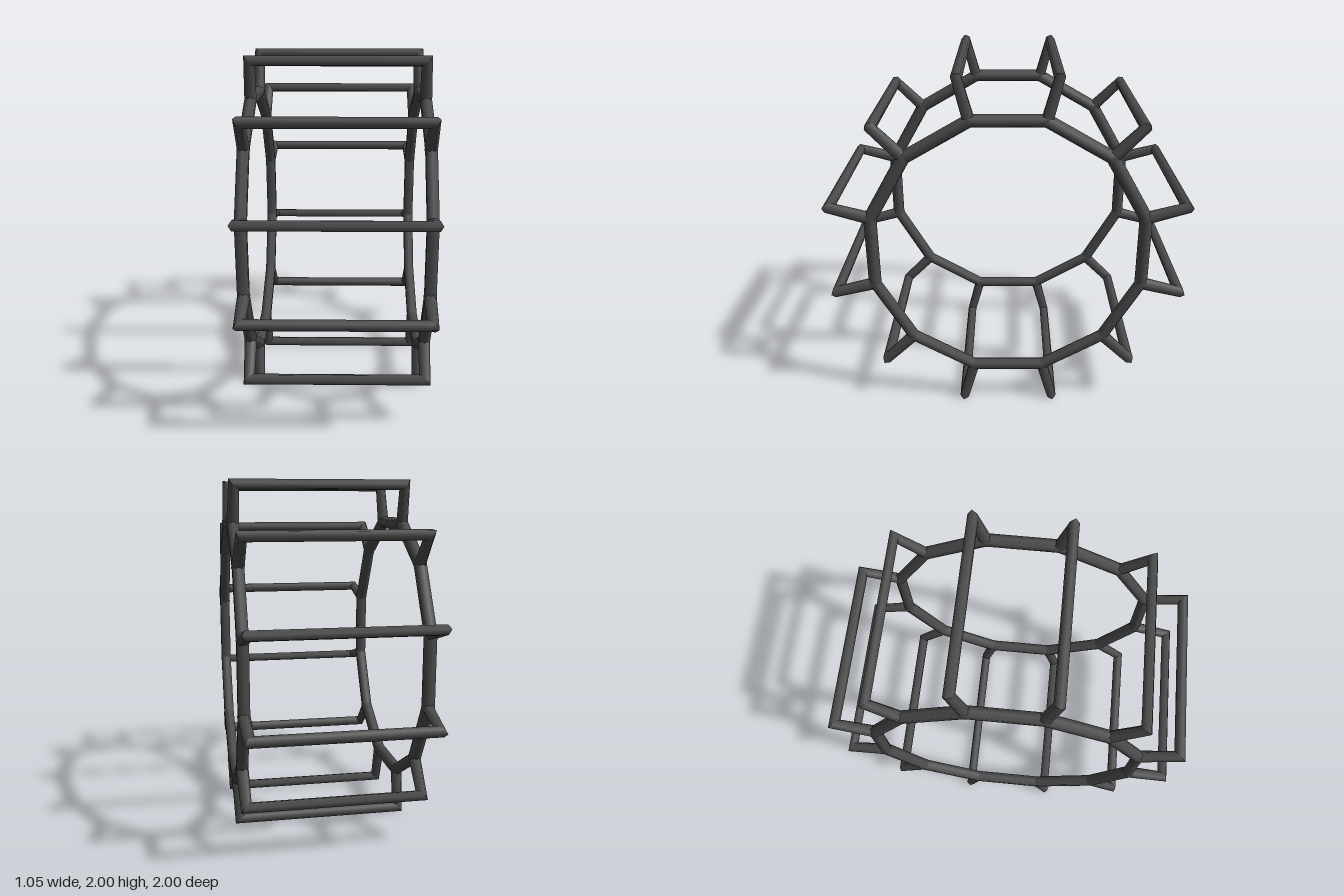
import * as THREE from 'three';

const SIDES = 6;

// Hexagonal bar swept along a planar path with mitred corners; b is the plane normal
function sweep(points, radii, b, closed) {
  const count = points.length;
  const segs = closed ? count : count - 1;
  const sideOf = i => {
    const d = points[(i + 1) % count].clone().sub(points[i]).normalize();
    return new THREE.Vector3().crossVectors(d, b).normalize();
  };
  const sides = Array.from({ length: segs }, (_, i) => sideOf(i));
  const mitre = i => {
    const prev = closed ? sides[(i + segs - 1) % segs] : sides[Math.max(i - 1, 0)];
    const next = closed ? sides[i % segs] : sides[Math.min(i, segs - 1)];
    const m = prev.clone().add(next).normalize();
    return m.divideScalar(m.dot(next));
  };
  const pos = [], nor = [], idx = [];
  for (let s = 0; s < segs; s++) {
    const base = pos.length / 3;
    for (const i of [s, (s + 1) % count]) {
      const m = mitre(i);
      for (let k = 0; k <= SIDES; k++) {
        const a = k / SIDES * Math.PI * 2, c = Math.cos(a), t = Math.sin(a);
        const p = points[i].clone().addScaledVector(m, c * radii[i]).addScaledVector(b, t * radii[i]);
        const n = sides[s].clone().multiplyScalar(c).addScaledVector(b, t);
        pos.push(p.x, p.y, p.z);
        nor.push(n.x, n.y, n.z);
      }
    }
    for (let k = 0; k < SIDES; k++) {
      const p = base + k, q = p + SIDES + 1;
      idx.push(p, p + 1, q, p + 1, q + 1, q);
    }
  }
  const geo = new THREE.BufferGeometry();
  geo.setAttribute('position', new THREE.Float32BufferAttribute(pos, 3));
  geo.setAttribute('normal', new THREE.Float32BufferAttribute(nor, 3));
  geo.setIndex(idx);
  // Turn faces outward if the winding came out reversed
  const [A, B, C] = [0, 1, 2].map(j => new THREE.Vector3().fromArray(pos, idx[j] * 3));
  const face = B.sub(A).cross(C.sub(A));
  if (face.dot(new THREE.Vector3().fromArray(nor, 0)) < 0) geo.setIndex(idx.reverse());
  return geo;
}

export function createModel() {
  const group = new THREE.Group();
  const metal = new THREE.MeshStandardMaterial({ color: 0x4c4c4c });
  metal.name = 'dark grey metal';
  const V = (x, y, z) => new THREE.Vector3(x, y, z);
  const angles = Array.from({ length: 12 }, (_, i) => (15 + 30 * i) * Math.PI / 180);

  // Two twelve-sided rings
  for (const side of [-1, 1]) {
    const pts = angles.map(a => V(side * 0.49, 1 + 0.776 * Math.sin(a), 0.776 * Math.cos(a)));
    const ring = new THREE.Mesh(sweep(pts, pts.map(() => 0.036), V(1, 0, 0), true), metal);
    ring.name = side > 0 ? 'leftRing' : 'rightRing';
    group.add(ring);
  }

  // Twelve raised rungs, each two short legs and a cross bar
  const path = [[-0.49, 0.76], [-0.483, 1.005], [0.483, 1.005], [0.49, 0.76]];
  const rungGeo = sweep(path.map(([x, y]) => V(x, y, 0)), [0.035, 0.03, 0.03, 0.035], V(0, 0, 1), false);
  angles.forEach((a, i) => {
    const rung = new THREE.Mesh(rungGeo, metal);
    rung.name = 'rung' + (i + 1);
    rung.position.y = 1;
    rung.rotation.x = Math.PI / 2 - a;
    group.add(rung);
  });
  return group;
}
